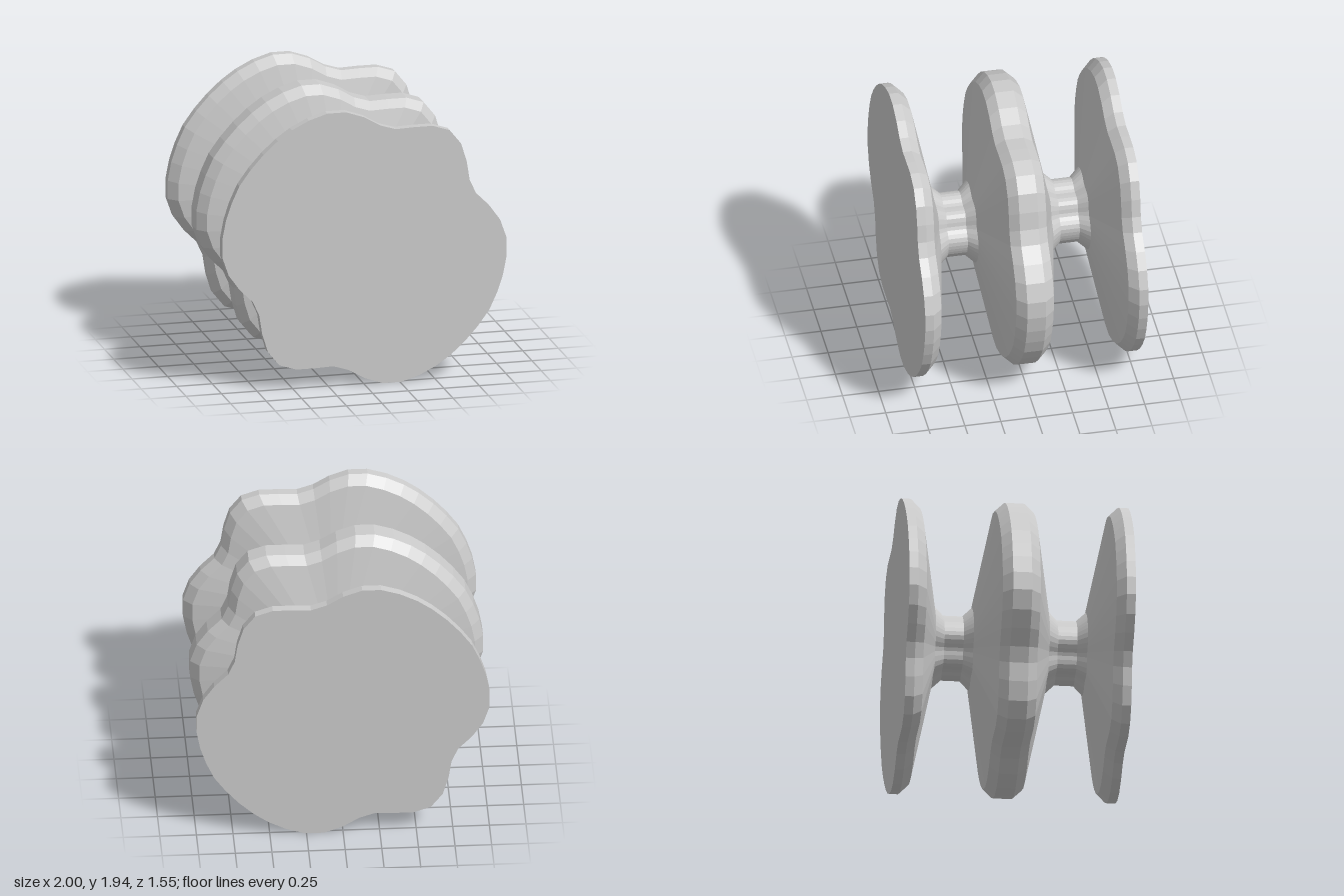
import * as THREE from 'three';

const CENTRE_Y = 0.97;

// Half of the wavy outline, counter-clockwise from +x; the other half is its half-turn
const HALF = [
  [1, 0], [0.955, 0.13], [0.88, 0.235], [0.785, 0.33], [0.74, 0.43], [0.72, 0.56],
  [0.68, 0.69], [0.60, 0.79], [0.48, 0.83], [0.35, 0.83], [0.22, 0.825], [0.11, 0.86],
  [0, 0.925], [-0.13, 0.97], [-0.26, 0.97], [-0.39, 0.93], [-0.51, 0.87], [-0.61, 0.80],
  [-0.71, 0.71], [-0.80, 0.61], [-0.88, 0.50], [-0.935, 0.38], [-0.975, 0.26], [-1, 0.13],
];
const OUTLINE = [...HALF, ...HALF.map(([x, y]) => [-x, -y])];

const material = new THREE.MeshStandardMaterial({ color: 0xcccccc, flatShading: true });

// Loft the outline through [z, scale] sections, ordered from back to front
function loft(name, sections, capBack = false, capFront = false) {
  const n = OUTLINE.length, positions = [], index = [];
  for (const [z, s] of sections)
    for (const [x, y] of OUTLINE) positions.push(x * s, y * s, z);
  for (let k = 0; k < sections.length - 1; k++) {
    for (let i = 0; i < n; i++) {
      const j = (i + 1) % n;
      const a = k * n + i, b = k * n + j, c = a + n, d = b + n;
      index.push(a, b, d, a, d, c);
    }
  }
  const cap = (k, front) => {
    const centre = positions.length / 3;
    positions.push(0, 0, sections[k][0]);
    for (let i = 0; i < n; i++) {
      const a = k * n + i, b = k * n + (i + 1) % n;
      index.push(centre, front ? a : b, front ? b : a);
    }
  };
  if (capBack) cap(0, false);
  if (capFront) cap(sections.length - 1, true);

  const geometry = new THREE.BufferGeometry();
  geometry.setAttribute('position', new THREE.Float32BufferAttribute(positions, 3));
  geometry.setIndex(index);
  geometry.computeVertexNormals();
  const mesh = new THREE.Mesh(geometry, material);
  mesh.name = name;
  mesh.position.y = CENTRE_Y;
  return mesh;
}

// Same sections, reflected in z
const mirror = (sections) => sections.map(([z, s]) => [-z, s]).reverse();

export function createModel() {
  const group = new THREE.Group();
  group.name = 'wavySpool';

  const endDisc = [[0.52, 0.28], [0.65, 0.94], [0.713, 1], [0.775, 1]];
  const neck = [[0.26, 0.28], [0.323, 0.22], [0.455, 0.22], [0.52, 0.28]];
  const halfDisc = [[0.065, 1], [0.13, 0.94], [0.26, 0.28]];

  group.add(
    loft('frontDisc', endDisc, false, true),
    loft('frontNeck', neck),
    loft('middleDisc', [...mirror(halfDisc), ...halfDisc]),
    loft('backNeck', mirror(neck)),
    loft('backDisc', mirror(endDisc), true, false),
  );
  return group;
}
